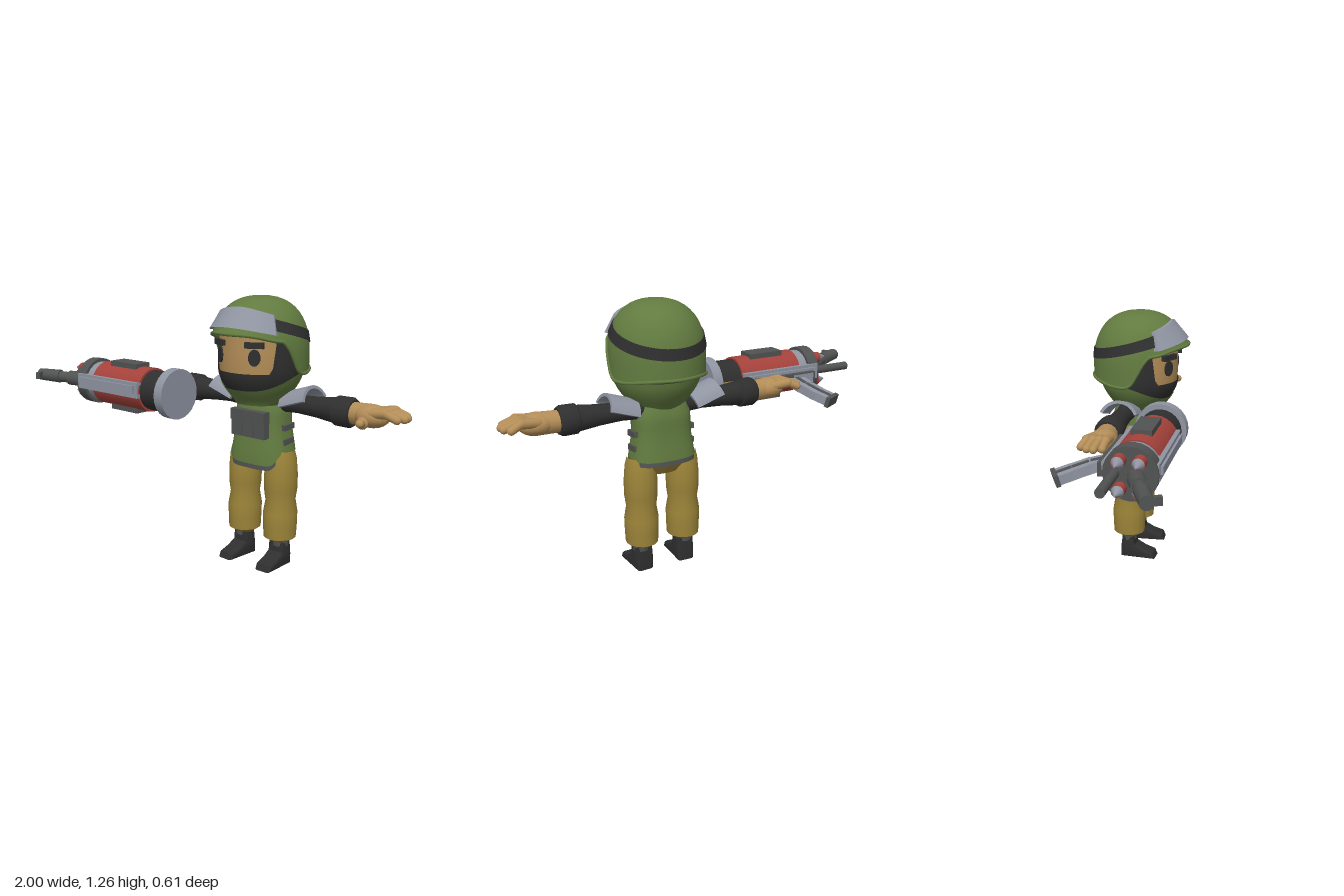
import * as THREE from 'three';
import { toCreasedNormals } from 'three/addons/utils/BufferGeometryUtils.js';

const flat = (name, color, side = THREE.FrontSide) => {
  const m = new THREE.MeshStandardMaterial({ color, side });
  m.name = name;
  return m;
};
const D = THREE.DoubleSide;
const green = flat('olive green', 0x627b40, D), khaki = flat('khaki', 0x9c8439), skin = flat('skin', 0xb48e58, D);
const black = flat('black', 0x2f2f2f, D), dark = flat('dark grey', 0x515252, D), grey = flat('light grey', 0x8f94a1, D);
const red = flat('red', 0xa5423b), wood = flat('wood', 0x9c783c);
const V = (x, y, z) => new THREE.Vector3(x, y, z);
const CX = 0.257, PI = Math.PI;
const smooth = THREE.MathUtils.smoothstep, lerp = THREE.MathUtils.lerp;

export function createModel() {
  const root = new THREE.Group();
  const add = (name, geo, mat, pos = [0, 0, 0], rot = [0, 0, 0], parent = root) => {
    const m = new THREE.Mesh(geo, mat);
    m.name = name;
    m.position.set(...pos);
    m.rotation.set(...rot);
    parent.add(m);
    return m;
  };
  const box = (name, mat, size, pos, rot) => add(name, new THREE.BoxGeometry(...size), mat, pos, rot);

  // surface swept around the vertical axis; a = 0 faces the front
  const surf = (fn, a0, a1, nu, nv, crease = 0.75) => {
    const p = [], idx = [];
    for (let j = 0; j <= nv; j++) for (let i = 0; i <= nu; i++)
      p.push(...fn(lerp(a0, a1, i / nu), j / nv).toArray());
    for (let j = 0; j < nv; j++) for (let i = 0; i < nu; i++) {
      const k = j * (nu + 1) + i, l = k + nu + 1;
      idx.push(k, k + 1, l + 1, k, l + 1, l);
    }
    const g = new THREE.BufferGeometry();
    g.setAttribute('position', new THREE.Float32BufferAttribute(p, 3));
    g.setIndex(idx);
    return toCreasedNormals(g, crease);
  };
  const lathe = (pts, n = 16) =>
    toCreasedNormals(new THREE.LatheGeometry(pts.map(([r, y]) => new THREE.Vector2(r, y)), n), 0.7);
  // rounded or straight rod between two points
  const rod = (name, mat, a, b, r, round = false, r2 = r, n = 12) => {
    const d = b.clone().sub(a), len = d.length();
    const g = round ? new THREE.CapsuleGeometry(r, len, 5, n) : new THREE.CylinderGeometry(r2, r, len, n);
    const m = add(name, g, mat, a.clone().add(b).multiplyScalar(0.5).toArray());
    m.quaternion.setFromUnitVectors(V(0, 1, 0), d.normalize());
    return m;
  };

  // helmet
  const helmetAt = (a, y, k = 1) => {
    const s = Math.min(1, Math.max(0, (y - 1) / 0.26));
    const r = Math.pow(Math.max(0, 1 - Math.pow(s, 2.4)), 1 / 2.4) * k;
    const brim = Math.pow(Math.max(0, Math.cos(a)), 3) * 0.022 * (1 - smooth(y, 1.09, 1.16));
    return V(CX + 0.218 * r * Math.sin(a), y, -0.07 + (0.23 * r + brim) * Math.cos(a));
  };
  const rimY = a => {
    const c = Math.cos(a);
    return 0.925 + 0.15 * smooth(c, -0.1, 0.42) + 0.03 * smooth(c, 0.4, 1) + 0.02 * smooth(-c, 0.3, 1);
  };
  add('helmet', surf((a, v) => helmetAt(a, lerp(rimY(a), 1.26, Math.sin(v * PI / 2))), -PI, PI, 48, 14, 1), green);
  const rim = Array.from({ length: 48 }, (_, i) => helmetAt(i * PI / 24, rimY(i * PI / 24)));
  add('helmetRim', new THREE.TubeGeometry(new THREE.CatmullRomCurve3(rim, true), 96, 0.008, 6, true), green);
  const strap = (half, k, end) => (a, v) => {
    const outer = v > 0.1 && v < 0.9 && Math.abs(a) < end - 1e-6;
    const y = 1.14 + 0.28 * (helmetAt(a, 1.13).z - 0.02) + (v < 0.5 ? -half : half);
    return helmetAt(a, y, outer ? k : 0.98);
  };
  add('helmetBand', surf(strap(0.025, 1.02, 9), -PI, PI, 48, 3), black);
  add('goggles', surf(strap(0.042, 1.09, 1.08), -1.08, 1.08, 28, 3), grey);

  // head, mask and collar share one rounded profile
  const headAt = (a, y, k = 1) => {
    const r = k * (y > 0.94 ? 1 : lerp(0.56, 1, Math.sin(Math.max(0, (y - 0.78) / 0.16) * PI / 2)));
    return V(CX + 0.19 * r * Math.sin(a), y, -0.07 + 0.185 * r * Math.cos(a));
  };
  const between = (lo, hi, k) => (a, v) => headAt(a, lerp(lo(a), hi(a), v), k);
  const collarY = a => 0.925 - 0.075 * smooth(Math.cos(a), -0.3, 1);
  add('face', surf(between(() => 0.9, () => 1.14, 1), -1.2, 1.2, 24, 4), skin);
  add('faceMask', surf(between(a => collarY(a) - 0.02, a => 0.93 + 0.17 * smooth(Math.abs(a), 0.92, 1.08), 1.025),
    -PI, PI, 72, 6, 1.2), black);
  add('collar', surf(between(() => 0.775, collarY, 1.06), -PI, PI, 48, 6, 1), green);
  for (const s of [-1, 1]) {
    const eye = add('eye', new THREE.CylinderGeometry(1, 1, 0.008, 20).rotateX(PI / 2), black,
      headAt(s * 0.53, 1.003, 1.015).toArray(), [0, s * 0.53, 0]);
    eye.scale.set(0.027, 0.037, 1);
    box('eyebrow', black, [0.085, 0.026, 0.024], headAt(s * 0.53, 1.058, 1.03).toArray(), [0, s * 0.5, 0]);
  }

  // vest with a dropped front flap, belt showing under its hem
  const torsoAt = (a, y, k = 1) => {
    const t = smooth(y, 0.5, 0.7), top = smooth(y, 0.74, 0.84);
    const sq = w => Math.sign(w) * Math.pow(Math.abs(w), 0.72);
    return V(CX + k * (lerp(0.155, 0.133, t) - 0.03 * top) * sq(Math.sin(a)), y,
      -0.105 + k * (lerp(0.112, 0.093, t) - 0.025 * top) * sq(Math.cos(a)));
  };
  const hem = a => 0.552 - 0.057 * smooth(Math.cos(a), 0.3, 0.85);
  add('vest', surf((a, v) => torsoAt(a, lerp(hem(a), 0.85, v)), -PI, PI, 48, 10), green);
  add('belt', surf((a, v) => torsoAt(a, lerp(hem(a) - 0.022, 0.6, v), 0.97), -PI, PI, 48, 2), dark);
  for (const i of [-1, 0, 1]) {
    box('pouch', dark, [0.06, 0.12, 0.036], [CX + i * 0.066, 0.682, -0.003]);
    box('pouchFlap', dark, [0.064, 0.052, 0.042], [CX + i * 0.066, 0.72, 0]);
  }
  for (const s of [-1, 1]) for (const y of [0.605, 0.672])
    box('sideStrap', dark, [0.025, 0.026, 0.07], [CX + s * 0.138, y, -0.105], [0.08, 0, 0]);

  // trousers
  const hips = add('hips', lathe([[0, 0.47], [0.09, 0.475], [0.138, 0.52], [0.14, 0.58], [0, 0.58]], 24), khaki, [CX, 0, -0.103]);
  hips.scale.z = 0.62;
  const legProfile = [[0, 0.115], [0.04, 0.118], [0.075, 0.14], [0.078, 0.2], [0.079, 0.26], [0.069, 0.32],
    [0.076, 0.37], [0.077, 0.44], [0.07, 0.52], [0.06, 0.56]];
  // boot side profile
  const boot = new THREE.Shape([[-0.13, 0.01], [-0.13, 0.05], [-0.122, 0.11], [-0.08, 0.11], [-0.075, 0.065], [-0.03, 0.04],
    [0.02, 0.024], [0.027, 0.01]].map(([x, y]) => new THREE.Vector2(x, y)));
  const bootGeo = toCreasedNormals(new THREE.ExtrudeGeometry(boot,
    { depth: 0.056, bevelSize: 0.01, bevelThickness: 0.014, bevelSegments: 3 })
    .translate(0, 0, -0.028).rotateY(-PI / 2), 0.6);

  // shoulder pad: thick arc
  const arc = new THREE.Shape();
  arc.absarc(0, 0, 0.098, PI / 2 - 1.17, PI / 2 + 1.17, false);
  arc.absarc(0, 0, 0.083, PI / 2 + 1.17, PI / 2 - 1.17, true);
  const padGeo = toCreasedNormals(new THREE.ExtrudeGeometry(arc,
    { depth: 0.14, bevelEnabled: false, curveSegments: 14 }).rotateY(PI / 2), 0.6);
  const armGeo = lathe([[0, 0.06], [0.05, 0.07], [0.042, 0.2], [0.047, 0.3], [0.058, 0.4], [0.066, 0.405],
    [0.067, 0.47], [0.058, 0.486], [0, 0.486]]).rotateZ(-PI / 2);

  for (const s of [-1, 1]) {
    const turn = s > 0 ? 0 : PI;
    const leg = add('trouserLeg', lathe(legProfile), khaki, [CX + s * 0.107, 0, -0.103]);
    leg.scale.z = 1.06;
    add('sock', new THREE.CylinderGeometry(0.04, 0.038, 0.03, 14), dark, [CX + s * 0.113, 0.112, -0.102]);
    add('boot', bootGeo, black, [CX + s * 0.113, 0, 0], [0, s * 0.05, 0]);
    add('sleeve', armGeo, black, [CX, 0.785, -0.108], [0, turn, 0]);
    const pad = new THREE.Group();
    pad.name = 'shoulderPad';
    pad.position.set(CX + s * 0.155, 0.74, -0.113);
    pad.rotation.y = turn;
    root.add(pad);
    add('padShell', padGeo, grey, [0, 0, 0], [0, 0, 0.31], pad);

    // hand with palm, spread fingers and thumb
    const H = (x, y, z) => V(CX + s * x, y, z);
    const palm = add('palm', new THREE.SphereGeometry(1, 18, 12), skin, H(0.575, 0.787, -0.102).toArray());
    palm.scale.set(0.082, 0.05, 0.062);
    rod('wrist', skin, H(0.47, 0.785, -0.108), H(0.56, 0.787, -0.105), 0.048, false, 0.05, 16);
    const fingers = [[-0.14, -0.167, 0.7], [-0.115, -0.135, 0.722], [-0.09, -0.105, 0.725], [-0.068, -0.07, 0.71]];
    for (const [z0, z1, x] of fingers) {
      rod('finger', skin, H(0.58, 0.802, z0), H(0.655, 0.812, (z0 + z1) / 2), 0.022, true);
      rod('fingerTip', skin, H(0.655, 0.812, (z0 + z1) / 2), H(x, 0.793, z1), 0.018, true);
    }
    rod('thumb', skin, H(0.545, 0.775, -0.08), H(0.575, 0.765, -0.03), 0.024, true);
    rod('thumbTip', skin, H(0.575, 0.765, -0.03), H(0.588, 0.775, 0.012), 0.018, true);
  }

  // rotary launcher lying along x
  const GY = 0.79, GZ = 0.115;
  const drum = (name, mat, x0, x1, r) => rod(name, mat, V(x0, GY, GZ), V(x1, GY, GZ), r, false, r, 24);
  drum('endDisc', grey, -0.13, -0.08, 0.12);
  drum('neck', black, -0.26, -0.125, 0.097);
  drum('drumBody', red, -0.59, -0.25, 0.107);
  drum('innerRing', grey, -0.645, -0.585, 0.1);
  drum('muzzleRing', dark, -0.7, -0.64, 0.115);
  for (const s of [-1, 1]) {
    box('drumPlate', dark, [0.185, 0.03, 0.09], [-0.42, GY + s * 0.107, GZ]);
    box('sideRail', grey, [0.44, 0.075, 0.03], [-0.47, GY + 0.01, GZ + s * 0.1]);
    box('railRidge', grey, [0.4, 0.035, 0.018], [-0.47, GY + 0.015, GZ + s * 0.117]);
    for (const t of [-1, 1]) {
      const y = GY + s * 0.06, z = GZ + t * 0.042;
      rod('rocketBody', red, V(-0.69, y, z), V(-0.742, y, z), 0.028);
      rod('rocketTip', grey, V(-0.742, y, z), V(-0.785, y, z), 0.026, false, 0.004);
    }
  }
  rod('lowerBarrel', dark, V(-0.69, GY, 0.05), V(-0.91, GY, 0.05), 0.021);

  // angled barrel with muzzle and sight
  rod('angledBarrel', dark, V(-0.68, 0.785, 0.125), V(-0.88, 0.797, 0.205), 0.028);
  rod('barrelCollar', dark, V(-0.74, 0.788, 0.149), V(-0.82, 0.793, 0.181), 0.037);
  rod('muzzle', dark, V(-0.87, 0.797, 0.201), V(-0.985, 0.802, 0.247), 0.034, false, 0.03);
  box('frontSight', dark, [0.022, 0.035, 0.07], [-0.958, 0.802, 0.262], [0, 0.38, 0]);

  // rifle body, stock and curved magazine behind the launcher
  box('receiver', dark, [0.36, 0.06, 0.07], [-0.47, 0.78, 0]);
  box('handguard', grey, [0.12, 0.05, 0.05], [-0.58, 0.78, -0.01]);
  box('grip', wood, [0.05, 0.045, 0.09], [-0.36, 0.77, -0.045], [0, 0.3, 0]);
  box('stock', wood, [0.16, 0.05, 0.065], [-0.225, 0.78, 0.005], [0, 0.12, 0]);
  const mag = [V(-0.535, 0.775, -0.01), V(-0.55, 0.755, -0.09), V(-0.578, 0.732, -0.16), V(-0.612, 0.712, -0.225)];
  for (let i = 0; i < 3; i++) {
    const m = add('magazineSection', new THREE.BoxGeometry(0.09, 0.042, mag[i].distanceTo(mag[i + 1]) + 0.012), grey,
      mag[i].clone().lerp(mag[i + 1], 0.5).toArray());
    m.lookAt(mag[i + 1]);
    const rib = add('magazineRib', new THREE.BoxGeometry(0.02, 0.05, 0.075), dark, m.position.toArray());
    rib.quaternion.copy(m.quaternion);
  }
  const base = add('magazineBase', new THREE.BoxGeometry(0.1, 0.05, 0.02), dark, mag[3].toArray());
  base.lookAt(mag[3].clone().multiplyScalar(2).sub(mag[2]));
  return root;
}
